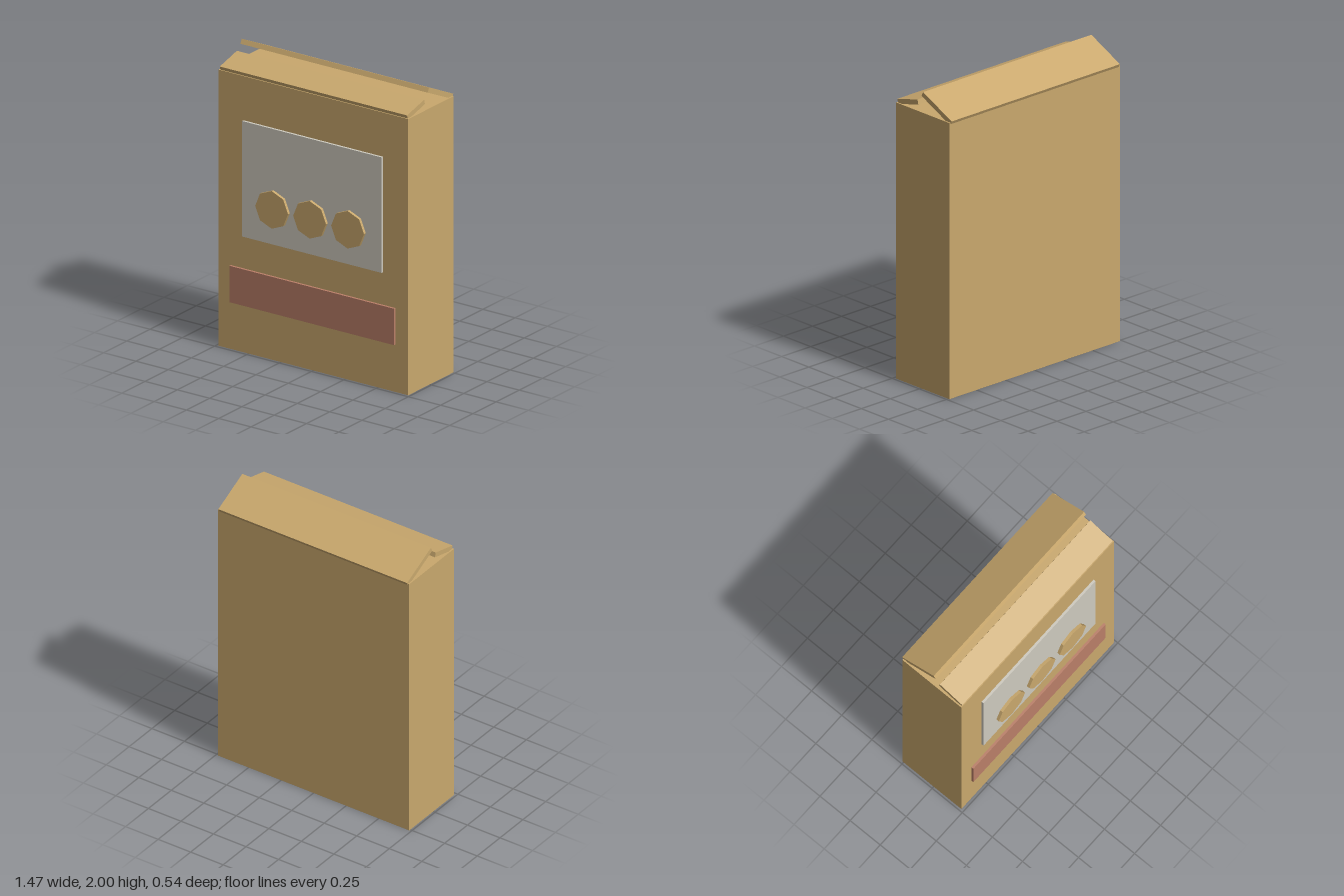
import * as THREE from 'three';

const material = (name, color) => {
  const m = new THREE.MeshStandardMaterial({ color });
  m.name = name;
  return m;
};

export function createModel() {
  const group = new THREE.Group();
  group.name = 'openCarton';
  const cardboard = material('cardboard', 0xc9a86d);
  const paper = material('palePanel', 0xcecabe);
  const red = material('redLabel', 0xba7f68);

  const add = (name, geometry, mat, x, y, z, tilt = 0) => {
    const mesh = new THREE.Mesh(geometry, mat);
    mesh.name = name;
    mesh.position.set(x, y, z);
    mesh.rotation.x = tilt;
    group.add(mesh);
  };
  const box = (w, h, d) => new THREE.BoxGeometry(w, h, d);

  // Carton body
  add('body', box(1.47, 1.865, 0.49), cardboard, 0, 0.9325, -0.015);

  // Lid flaps, propped open along the front and back edges
  add('frontFlap', box(1.45, 0.033, 0.191), cardboard, 0, 1.895, 0.132, 0.253);
  add('backFlap', box(1.45, 0.033, 0.29), cardboard, 0, 1.923, -0.132, -0.442);

  // Raised panels on the front
  add('picturePanel', box(1.08, 0.78, 0.016), paper, 0, 1.177, 0.238);
  add('labelStrip', box(1.276, 0.246, 0.016), red, 0, 0.444, 0.238);

  // Row of octagonal discs
  const disc = new THREE.CylinderGeometry(0.127, 0.127, 0.02, 8).toNonIndexed();
  disc.computeVertexNormals();
  for (const x of [-0.294, 0, 0.294]) add('disc', disc, cardboard, x, 1.03, 0.26, Math.PI / 2);

  return group;
}
